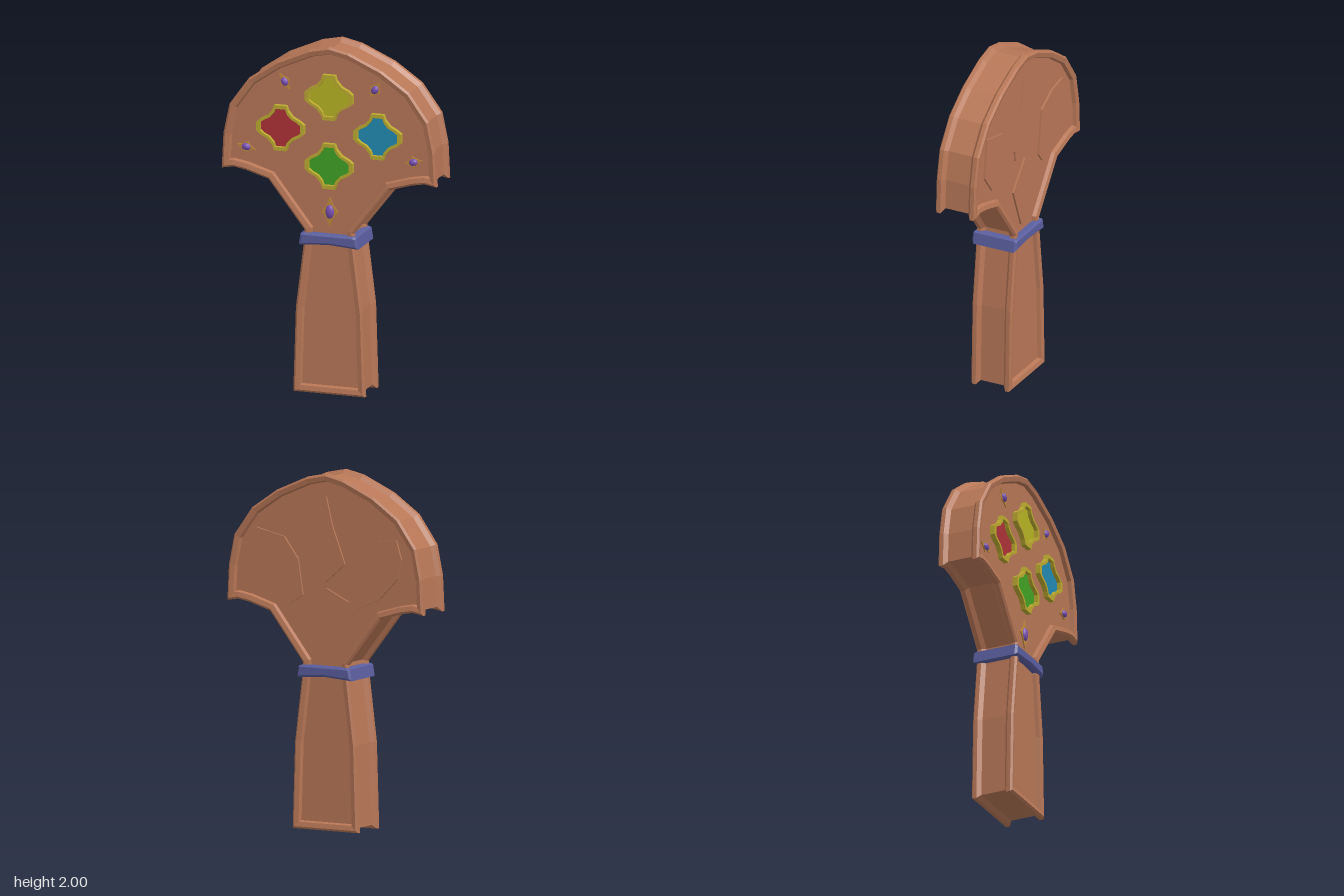
import * as THREE from 'three';

const mat = (name, color) => {
  const m = new THREE.MeshStandardMaterial({ color });
  m.name = name;
  return m;
};

// Mirrors a right-hand half outline (listed bottom to top) into a full loop
const mirrorLoop = half => [
  ...half,
  ...half.slice().reverse().filter(p => p[0] !== 0).map(([x, y]) => [-x, y]),
];
const toVec = pts => pts.map(p => new THREE.Vector2(p[0], p[1]));

// Moves each edge of a counter-clockwise loop inwards by d
function inset(loop, d) {
  const n = loop.length;
  return loop.map((p, i) => {
    const a = p.clone().sub(loop[(i + n - 1) % n]).normalize();
    const b = loop[(i + 1) % n].clone().sub(p).normalize();
    const na = new THREE.Vector2(-a.y, a.x), nb = new THREE.Vector2(-b.y, b.x);
    const m = na.clone().add(nb);
    return p.clone().addScaledVector(m, d / (1 + na.dot(nb)));
  });
}

// Joins inset copies of a loop, front to back, and caps both ends
function loftLoops(loop, profile) {
  const pos = [], idx = [], n = loop.length;
  profile.forEach(([d, z]) => inset(loop, d).forEach(p => pos.push(p.x, p.y, z)));
  const last = (profile.length - 1) * n;
  for (let r = 0; r < last; r += n) {
    for (let j = 0; j < n; j++) {
      const k = (j + 1) % n;
      idx.push(r + j, r + n + j, r + n + k, r + j, r + n + k, r + k);
    }
  }
  for (const [a, b, c] of THREE.ShapeUtils.triangulateShape(inset(loop, profile[0][0]), [])) {
    idx.push(a, b, c, last + a, last + c, last + b);
  }
  const indexed = new THREE.BufferGeometry();
  indexed.setAttribute('position', new THREE.Float32BufferAttribute(pos, 3));
  indexed.setIndex(idx);
  const g = indexed.toNonIndexed();
  g.computeVertexNormals();
  return g;
}

const plate = (pts, depth, hole) => {
  const s = new THREE.Shape(toVec(pts));
  if (hole) s.holes.push(new THREE.Path(toVec(hole)));
  return new THREE.ExtrudeGeometry(s, { depth, bevelEnabled: false });
};

export function createModel() {
  const model = new THREE.Group();
  const wood = mat('terracotta', 0xb87757);
  const gold = mat('yellow gold', 0xbcaa30);
  const bronze = mat('bronze gold', 0xc08a3c);
  const purple = mat('purple', 0x7a50b4);
  const indigo = mat('indigo', 0x5a5e9e);
  const add = (name, geo, material, x = 0, y = 0, z = 0, parent = model) => {
    const m = new THREE.Mesh(geo, material);
    m.name = name;
    m.position.set(x, y, z);
    parent.add(m);
    return m;
  };
  const PANEL = 0.098;

  // Fan-shaped head and flared handle with raised rims and a grooved edge
  const outline = toVec(mirrorLoop([
    [0.21, 0.005], [0.195, 0.49], [0.15, 0.85], [0.145, 0.94], [0.355, 1.21],
    [0.49, 1.25], [0.56, 1.262], [0.63, 1.25], [0.62, 1.45], [0.585, 1.62],
    [0.47, 1.78], [0.31, 1.89], [0.117, 1.975], [0, 2],
  ]));
  const half = [[0.045, PANEL], [0.038, 0.119], [0.012, 0.125], [0, 0.115], [0, 0.092], [0.022, 0.072]];
  const profile = [...half, ...half.slice().reverse().map(([d, z]) => [d, -z])];
  add('body', loftLoops(outline, profile), wood);

  // Collar between the handle and the head
  const band = mirrorLoop([[0, 0.865], [0.15, 0.855], [0.175, 0.853], [0.165, 0.918], [0.145, 0.925], [0, 0.925]]);
  const collar = new THREE.ExtrudeGeometry(new THREE.Shape(toVec(band)), {
    depth: 0.25, bevelThickness: 0.012, bevelSize: 0.012, bevelOffset: -0.012, bevelSegments: 1,
  });
  add('collar', collar, indigo, 0, 0, -0.125);

  // Four large gems in four-pointed frames
  const star = s => mirrorLoop([
    [0.036, -0.13], [0.046, -0.1], [0.075, -0.066], [0.115, -0.046], [0.14, -0.026],
    [0.14, 0.026], [0.115, 0.046], [0.075, 0.066], [0.046, 0.1], [0.036, 0.13],
  ]).map(([x, y]) => [x * s, y * s]);
  const frameGeo = plate(star(1), 0.03, star(0.84));
  const gemGeo = plate(star(0.85), 0.008);
  [
    ['red', 0xae3238, -0.285, 1.51], ['blue', 0x228ab4, 0.285, 1.51],
    ['yellow', 0xb8b424, 0, 1.71], ['green', 0x40a224, 0, 1.315],
  ].forEach(([name, color, x, y]) => {
    add(name + 'GemFrame', frameGeo, gold, x, y, PANEL - 0.002);
    add(name + 'Gem', gemGeo, mat(name, color), x, y, PANEL - 0.002);
  });

  // Small oval stones on pointed plates
  const mount = plate(mirrorLoop([
    [0, -0.085], [0.018, -0.04], [0.05, 0], [0.018, 0.04], [0, 0.085],
  ]), 0.008);
  const stone = new THREE.SphereGeometry(1, 12, 8);
  const addStone = (x, y, angle, s) => {
    const g = new THREE.Group();
    g.name = 'smallStone';
    add('stoneMount', mount, bronze, 0, 0, 0, g).scale.set(s, s, 1);
    add('stone', stone, purple, 0, 0, 0.006, g).scale.set(0.026 * Math.sqrt(s), 0.04 * s, 0.018);
    g.position.set(x, y, PANEL - 0.001);
    g.rotation.z = angle;
    model.add(g);
  };
  addStone(0, 1.05, 0, 1);
  for (const side of [-1, 1]) {
    addStone(side * 0.265, 1.775, -side * 0.6, 0.65);
    addStone(side * 0.49, 1.38, -side * 1.35, 0.65);
  }

  // Raised plates on the back, drawn as seen from behind
  const backPlates = {
    leafPlate: [[-0.45, 1.67], [-0.27, 1.63], [-0.18, 1.51], [-0.15, 1.31], [-0.23, 1.26], [-0.39, 1.33], [-0.477, 1.44]],
    dropPlate: [[0, 1.87], [0.04, 1.71], [0.12, 1.5], [0, 1.395], [-0.113, 1.39], [-0.12, 1.45], [-0.053, 1.665]],
    roundPlate: [[0.2, 1.57], [0.325, 1.64], [0.45, 1.66], [0.483, 1.55], [0.457, 1.44], [0.344, 1.32], [0.205, 1.255], [0.16, 1.31]],
    shieldPlate: [[0, 1.36], [0.146, 1.29], [0.04, 0.98], [-0.046, 0.97], [-0.14, 1.205]],
  };
  for (const [name, pts] of Object.entries(backPlates)) {
    add(name, plate(pts, 0.012), wood, 0, 0, -PANEL + 0.001).rotation.y = Math.PI;
  }
  return model;
}
